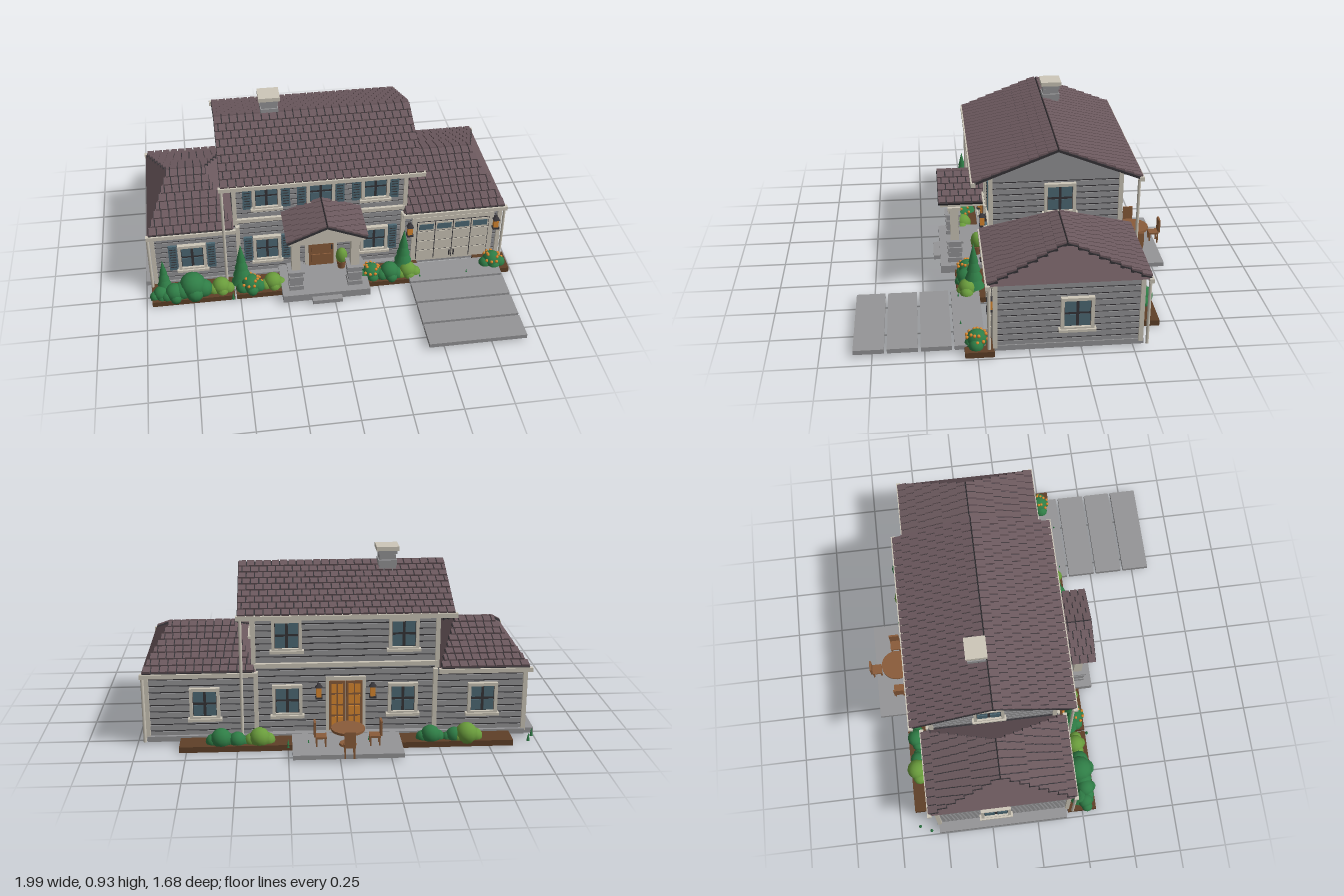
import * as THREE from 'three';
import { mergeGeometries } from 'three/addons/utils/BufferGeometryUtils.js';
import { ConvexGeometry } from 'three/addons/geometries/ConvexGeometry.js';

const V = (x, y, z) => new THREE.Vector3(x, y, z);
const mat = (name, color) => Object.assign(new THREE.MeshStandardMaterial({ color }), { name });
const M = {
  grey: mat('stone grey', 0x959597), roof: mat('roof brown', 0x6c595e), trim: mat('cream trim', 0xcdc7b9),
  dark: mat('dark gap', 0x363438), glass: mat('slate blue', 0x4e6a76), wood: mat('wood', 0x8a5c3a),
  amber: mat('amber', 0xdc8a30), green: mat('leaf green', 0x2f7d46), lime: mat('light leaf', 0x6a9c3c),
  soil: mat('soil', 0x5f4028),
};
const boxGeo = (sx, sy, sz, x, y, z) => new THREE.BoxGeometry(sx, sy, sz).translate(x, y, z);

function add(parent, name, material, geo) {
  const mesh = new THREE.Mesh(Array.isArray(geo) ? mergeGeometries(geo) : geo, material);
  mesh.name = name;
  parent.add(mesh);
  return mesh;
}
const box = (p, name, m, ...d) => add(p, name, m, boxGeo(...d));
// box from min and max corners
const span = (p, name, m, x0, x1, y0, y1, z0, z1) =>
  box(p, name, m, x1 - x0, y1 - y0, z1 - z0, (x0 + x1) / 2, (y0 + y1) / 2, (z0 + z1) / 2);

function part(parent, name, x = 0, y = 0, z = 0, ry = 0) {
  const g = new THREE.Group();
  g.name = name;
  g.position.set(x, y, z);
  g.rotation.y = ry;
  parent.add(g);
  return g;
}

// clapboard block: dark core, overlapping boards, cream corner posts
function walls(parent, name, x0, x1, y0, y1, z0, z1) {
  const g = part(parent, name), cx = (x0 + x1) / 2, cz = (z0 + z1) / 2, e = 0.004;
  span(g, 'wallCore', M.dark, x0 + e, x1 - e, y0, y1, z0 + e, z1 - e);
  const n = Math.round((y1 - y0) / 0.034), p = (y1 - y0) / n, boards = [], posts = [];
  for (let i = 0; i < n; i++) boards.push(boxGeo(x1 - x0, p - 0.007, z1 - z0, cx, y0 + (i + 0.5) * p, cz));
  add(g, 'boards', M.grey, boards);
  for (const x of [x0, x1]) for (const z of [z0, z1]) posts.push(boxGeo(0.022, y1 - y0, 0.022, x, (y0 + y1) / 2, z));
  add(g, 'cornerPosts', M.trim, posts);
}

// rows of staggered shingles from eave a-b up to ridge c-d
function shingles(parent, name, a, b, c, d, rows, tile = 0.042) {
  const tiles = [], backing = [];
  const u = b.clone().sub(a).normalize(), rise = c.clone().sub(a);
  const v = rise.clone().addScaledVector(u, -rise.dot(u)), len = v.length() / rows;
  v.normalize();
  const n = u.clone().cross(v), rot = new THREE.Matrix4().makeBasis(u, v, n);
  const place = (w, h, t, tilt, p, lift) => new THREE.BoxGeometry(w, h, t).rotateX(tilt)
    .applyMatrix4(rot).translate(...p.clone().addScaledVector(n, lift).toArray());
  for (let i = 0; i < rows; i++) {
    const t = (i + 0.5) / rows, l = a.clone().lerp(c, t), r = b.clone().lerp(d, t), w = l.distanceTo(r);
    backing.push(place(w, len, 0.012, 0, l.clone().lerp(r, 0.5), 0));
    const cols = Math.max(1, Math.round(w / tile)), s = w / cols;
    for (let j = 0; j < cols + (i % 2); j++) {
      const s0 = Math.max(0, (j - (i % 2) / 2) * s), s1 = Math.min(w, (j + 1 - (i % 2) / 2) * s);
      tiles.push(place(s1 - s0 - 0.006, len * 0.98, 0.01, -0.14, l.clone().addScaledVector(u, (s0 + s1) / 2), 0.011));
    }
  }
  const g = part(parent, name);
  add(g, 'roofDeck', M.dark, backing);
  add(g, 'tiles', M.roof, tiles);
}

// hipped wing roof with plain ends and gutters
function hipRoof(parent, name, x0, x1, r0, r1) {
  const g = part(parent, name), y = 0.375, h = 0.52, zf = 0.2, zb = -0.57, zr = -0.185;
  const [A, B, C, D] = [V(x0, y, zf), V(x1, y, zf), V(x1, y, zb), V(x0, y, zb)];
  const [R, S] = [V(r0, h, zr), V(r1, h, zr)];
  add(g, 'hipBody', M.roof, new ConvexGeometry([A, B, C, D, R, S]));
  shingles(g, 'frontSlope', A, B, R, S, 8);
  shingles(g, 'backSlope', C, D, S, R, 8);
  for (const z of [zf, zb]) box(g, 'gutter', M.trim, x1 - x0 + 0.015, 0.022, 0.022, (x0 + x1) / 2, 0.367, z);
}

// window facing +z with cream frame, four panes and optional shutters
function windowUnit(parent, x, y, z, ry = 0, shutters = false, w = 0.15, h = 0.165) {
  const g = part(parent, 'window', x, y, z, ry), bars = [], f = 0.016;
  box(g, 'sash', M.dark, w - 0.02, h - 0.02, 0.008, 0, 0, 0.004);
  const panes = [];
  for (const i of [-1, 1]) {
    bars.push(boxGeo(f, h, 0.024, i * (w - f) / 2, 0, 0.01), boxGeo(w, f, 0.024, 0, i * (h - f) / 2, 0.01));
    for (const j of [-1, 1]) panes.push(boxGeo(w / 2 - 0.026, h / 2 - 0.026, 0.008, i * (w / 4 - 0.006), j * (h / 4 - 0.006), 0.008));
    if (shutters) {
      box(g, 'shutter', M.glass, 0.046, h - 0.005, 0.014, i * (w / 2 + 0.027), 0, 0.007);
      const slats = [];
      for (let k = 0; k < 8; k++) slats.push(boxGeo(0.032, 0.004, 0.004, i * (w / 2 + 0.027), (k - 3.5) * 0.017, 0.014));
      add(g, 'shutterSlats', M.dark, slats);
    }
  }
  bars.push(boxGeo(w + 0.02, 0.014, 0.034, 0, -h / 2, 0.014));
  add(g, 'panes', M.glass, panes);
  add(g, 'frame', M.trim, bars);
}

function lantern(parent, x, y, z, ry = 0) {
  const g = part(parent, 'wallLantern', x, y, z, ry);
  box(g, 'lamp', M.amber, 0.026, 0.05, 0.024, 0, 0, 0.022);
  add(g, 'lanternFrame', M.dark, [boxGeo(0.018, 0.08, 0.01, 0, 0, 0.005), boxGeo(0.036, 0.01, 0.034, 0, -0.028, 0.022),
    new THREE.ConeGeometry(0.026, 0.022, 4, 1).rotateY(Math.PI / 4).translate(0, 0.037, 0.022).toNonIndexed()].map(q => q.index ? q.toNonIndexed() : q));
}

function bush(parent, x, z, r, m, flowers = false) {
  const g = part(parent, 'bush', x, 0, z), balls = [], blooms = [];
  for (const [dx, dy, dz, s] of [[0, 0.85, 0, 0.85], [-0.65, 0.6, 0.15, 0.6], [0.65, 0.6, 0.1, 0.6], [0.1, 0.55, 0.45, 0.55]])
    balls.push(new THREE.SphereGeometry(r * s, 12, 8).translate(dx * r, dy * r, dz * r));
  add(g, 'leaves', m, balls);
  if (!flowers) return;
  for (let i = 0; i < 14; i++) {
    const a = i * 2.4, e = 0.3 + (i % 5) * 0.2;
    blooms.push(new THREE.SphereGeometry(0.009, 6, 5).translate(Math.cos(a) * Math.cos(e) * r * 0.95, r * (0.8 + Math.sin(e) * 0.85), Math.sin(a) * Math.cos(e) * r * 0.95));
  }
  add(g, 'flowers', M.amber, blooms);
}

function conifer(parent, x, z, h) {
  const g = part(parent, 'conifer', x, 0, z), tiers = [];
  add(g, 'trunk', M.wood, new THREE.CylinderGeometry(0.01, 0.012, h * 0.3, 8).translate(0, h * 0.15, 0));
  for (let i = 0; i < 4; i++) tiers.push(new THREE.ConeGeometry(h * (0.19 - i * 0.035), h * 0.36, 12).translate(0, h * (0.34 + i * 0.16), 0));
  add(g, 'foliage', M.green, tiers);
}

function chair(parent, x, z, ry) {
  const g = part(parent, 'patioChair', x, 0, z, ry);
  box(g, 'seat', M.wood, 0.055, 0.01, 0.055, 0, 0.085, 0);
  box(g, 'backrest', M.wood, 0.055, 0.075, 0.01, 0, 0.128, -0.03);
  for (const i of [-1, 1]) for (const j of [-1, 1]) box(g, 'leg', M.wood, 0.008, 0.06, 0.008, i * 0.022, 0.055, j * 0.022);
}

export function createModel() {
  const house = new THREE.Group();
  house.name = 'house';
  const F = 0.145, B = -0.515, WF = 0.165, WB = -0.535, CX = -0.0425, RZ = -0.185;

  // foundation, walls and gables
  span(house, 'foundation', M.grey, -0.95, 0.95, 0.012, 0.04, -0.55, 0.175);
  span(house, 'sidePath', M.grey, -1, -0.95, 0.012, 0.04, -0.54, 0.16);
  walls(house, 'mainWalls', -0.5, 0.415, 0.03, 0.675, B, F);
  walls(house, 'leftWingWalls', -0.945, -0.49, 0.03, 0.37, WB, WF);
  walls(house, 'rightWingWalls', 0.405, 0.945, 0.03, 0.37, WB, WF);
  const gable = [];
  for (const x of [-0.5, 0.415]) gable.push(V(x, 0.67, F), V(x, 0.698, F), V(x, 0.832, RZ), V(x, 0.698, B), V(x, 0.67, B));
  add(house, 'gable', M.grey, new ConvexGeometry(gable));
  for (const z of [F, B]) box(house, 'storyBand', M.trim, 0.915, 0.022, 0.03, CX, 0.395, z);

  // roofs
  const [l, r, e, t] = [-0.57, 0.488, 0.67, 0.835];
  shingles(house, 'mainFrontRoof', V(l, e, 0.235), V(r, e, 0.235), V(l, t, RZ), V(r, t, RZ), 9);
  shingles(house, 'mainBackRoof', V(r, e, -0.605), V(l, e, -0.605), V(r, t, RZ), V(l, t, RZ), 9);
  for (const z of [0.235, -0.605]) box(house, 'mainGutter', M.trim, 1.075, 0.022, 0.024, CX, 0.668, z);
  hipRoof(house, 'leftWingRoof', -0.965, -0.51, -0.84, -0.64);
  hipRoof(house, 'rightWingRoof', 0.405, 0.965, 0.52, 0.85);
  for (const [x, z, h] of [[-0.565, 0.225, 0.66], [0.475, -0.595, 0.66], [-0.965, 0.195, 0.36], [0.96, -0.565, 0.36], [0.96, 0.195, 0.36]])
    add(house, 'downspout', M.trim, new THREE.CylinderGeometry(0.008, 0.008, h - 0.02, 8).translate(x, (h + 0.02) / 2, z));

  // chimney
  for (let i = 0; i < 4; i++) box(house, 'chimneyStone', M.grey, 0.085 + (i % 2) * 0.01, 0.027, 0.085 + (i % 2) * 0.01, -0.27, 0.82 + i * 0.029, -0.235);
  box(house, 'chimneyCap', M.trim, 0.115, 0.022, 0.11, -0.27, 0.923, -0.235);

  // windows
  for (const x of [-0.33, CX, 0.25]) windowUnit(house, x, 0.552, F, 0, true);
  for (const x of [-0.335, 0.25]) windowUnit(house, x, 0.2, F, 0, true);
  windowUnit(house, -0.74, 0.2, WF, 0, true);
  for (const x of [-0.33, 0.25]) for (const y of [0.21, 0.552]) windowUnit(house, x, y, B, Math.PI);
  for (const x of [-0.73, 0.66]) windowUnit(house, x, 0.21, WB, Math.PI);
  for (const s of [-1, 1]) {
    windowUnit(house, s * 0.945, 0.205, -0.225, s * Math.PI / 2, false, 0.16, 0.175);
    windowUnit(house, s < 0 ? -0.5 : 0.415, 0.55, -0.205, s * Math.PI / 2, false, 0.16, 0.165);
  }

  // front door
  const door = part(house, 'frontDoor', CX, 0.2, F);
  box(door, 'doorFrame', M.trim, 0.175, 0.31, 0.014, 0, 0, 0.007);
  box(door, 'doorLeaf', M.wood, 0.135, 0.285, 0.02, 0, -0.005, 0.012);
  for (const x of [-0.042, 0, 0.042]) for (const y of [0.1, 0.058]) box(door, 'doorPane', M.amber, 0.032, 0.034, 0.006, x, y, 0.022);
  for (const x of [-0.03, 0.03]) for (const y of [-0.02, -0.095]) box(door, 'doorPanel', M.wood, 0.045, 0.055, 0.008, x, y, 0.024);
  box(door, 'handle', M.dark, 0.008, 0.03, 0.01, 0.056, -0.02, 0.026);

  // portico
  const porch = part(house, 'portico', CX, 0, 0);
  span(porch, 'porchFloor', M.grey, -0.235, 0.235, 0.012, 0.055, F, 0.4);
  span(porch, 'porchStep', M.grey, -0.08, 0.08, 0.012, 0.035, 0.4, 0.435);
  for (const x of [-0.158, 0.158]) {
    for (let i = 0; i < 4; i++) box(porch, 'pierStone', M.grey, 0.078 - (i % 2) * 0.008, 0.027, 0.078 - (i % 2) * 0.008, x, 0.068 + i * 0.03, 0.32);
    box(porch, 'pierCap', M.grey, 0.088, 0.012, 0.088, x, 0.175, 0.32);
    box(porch, 'column', M.trim, 0.045, 0.2, 0.045, x, 0.275, 0.32);
    box(porch, 'columnCap', M.trim, 0.068, 0.018, 0.068, x, 0.37, 0.32);
    box(porch, 'sideBeam', M.trim, 0.04, 0.03, 0.25, x, 0.395, 0.265);
  }
  box(porch, 'frontBeam', M.trim, 0.4, 0.028, 0.04, 0, 0.405, 0.375);
  add(porch, 'pediment', M.trim, new ConvexGeometry([0.14, 0.398].flatMap(z => [V(-0.195, 0.412, z), V(0.195, 0.412, z), V(0, 0.493, z)])));
  shingles(porch, 'rightSlope', V(0.208, 0.41, 0.405), V(0.208, 0.41, 0.14), V(0, 0.497, 0.405), V(0, 0.497, 0.14), 5);
  shingles(porch, 'leftSlope', V(-0.208, 0.41, 0.14), V(-0.208, 0.41, 0.405), V(0, 0.497, 0.14), V(0, 0.497, 0.405), 5);

  // garage door
  const garage = part(house, 'garageDoor', 0.685, 0.18, WF);
  box(garage, 'garageFrame', M.trim, 0.455, 0.3, 0.012, 0, -0.005, 0.004);
  box(garage, 'garageGaps', M.dark, 0.402, 0.262, 0.008, 0, -0.012, 0.008);
  for (let i = 0; i < 4; i++) for (let j = 0; j < 4; j++) {
    const x = (i - 1.5) * 0.1, y = (j - 1.5) * 0.065 - 0.012;
    box(garage, 'garagePanel', M.trim, 0.095, 0.06, 0.01, x, y, 0.011);
    if (j === 3) box(garage, 'garagePane', M.glass, 0.08, 0.036, 0.006, x, y, 0.015);
  }
  for (const x of [-0.012, 0.012]) box(garage, 'garageHandle', M.dark, 0.006, 0.035, 0.01, x, -0.105, 0.019);

  // back doors
  const french = part(house, 'gardenDoors', CX, 0.185, B, Math.PI);
  box(french, 'gardenDoorFrame', M.trim, 0.2, 0.29, 0.012, 0, 0, 0.006);
  for (const s of [-1, 1]) {
    box(french, 'gardenDoorLeaf', M.wood, 0.082, 0.262, 0.016, s * 0.043, -0.005, 0.01);
    for (const x of [0.027, 0.059]) for (let j = 0; j < 4; j++) box(french, 'gardenDoorPane', M.amber, 0.026, 0.048, 0.006, s * x, (j - 1.5) * 0.058, 0.018);
  }
  for (const s of [-1, 1]) {
    lantern(house, CX + s * 0.11, 0.255, F);
    lantern(house, CX + s * 0.135, 0.255, B, Math.PI);
    lantern(house, 0.683 + s * 0.24, 0.255, WF);
  }

  // driveway and patio
  for (let i = 0; i < 4; i++) span(house, 'drivewaySlab', M.grey, 0.42, 0.93, 0.015, 0.038, 0.21 + i * 0.161, 0.357 + i * 0.161);
  span(house, 'patio', M.grey, -0.31, 0.23, 0.015, 0.038, -0.81, -0.55);
  const table = part(house, 'patioTable', CX, 0, -0.69);
  add(table, 'tableTop', M.wood, new THREE.CylinderGeometry(0.083, 0.083, 0.012, 24).translate(0, 0.122, 0));
  add(table, 'tableStem', M.wood, new THREE.CylinderGeometry(0.01, 0.014, 0.085, 10).translate(0, 0.078, 0));
  add(table, 'tableFoot', M.wood, new THREE.CylinderGeometry(0.04, 0.045, 0.01, 12).translate(0, 0.042, 0));
  chair(house, CX, -0.805, 0);
  chair(house, -0.175, -0.69, Math.PI / 2);
  chair(house, 0.09, -0.69, -Math.PI / 2);

  // planting beds and plants
  for (const [x0, x1, z0, z1] of [[-0.97, -0.53, 0.17, 0.325], [-0.52, -0.25, 0.14, 0.325], [0.17, 0.49, 0.14, 0.325], [0.81, 0.985, 0.17, 0.31],
    [-0.87, -0.31, -0.665, -0.53], [0.23, 0.785, -0.665, -0.53]]) span(house, 'plantingBed', M.soil, x0, x1, 0, 0.03, z0, z1);
  for (const [x, z, s, m, f] of [[-0.92, 0.27, 0.05, M.green], [-0.75, 0.26, 0.085, M.green], [-0.6, 0.26, 0.058, M.lime], [-0.85, 0.28, 0.06, M.green],
    [-0.44, 0.27, 0.064, M.green, 1], [-0.32, 0.26, 0.058, M.lime], [0.22, 0.26, 0.06, M.green, 1], [0.32, 0.27, 0.062, M.green], [0.42, 0.27, 0.058, M.lime],
    [0.9, 0.25, 0.06, M.green, 1], [-0.64, -0.63, 0.066, M.lime], [-0.58, -0.62, 0.05, M.green], [-0.46, -0.62, 0.058, M.green],
    [0.39, -0.62, 0.062, M.lime], [0.5, -0.62, 0.05, M.green], [0.58, -0.62, 0.062, M.green]]) bush(house, x, z, s, m, f);
  for (const [x, h] of [[-0.9, 0.24], [-0.485, 0.3], [0.4, 0.3]]) conifer(house, x, 0.235, h);
  add(house, 'planter', M.wood, new THREE.CylinderGeometry(0.028, 0.02, 0.05, 12).translate(0.065, 0.08, 0.2));
  add(house, 'planterLeaves', M.lime, new THREE.SphereGeometry(0.038, 12, 8).scale(0.85, 1.3, 0.85).translate(0.065, 0.135, 0.2));
  for (const [x, z] of [[-0.95, -0.645], [-0.98, -0.585], [0.48, 0.32], [0.74, 0.32], [-0.15, -0.64], [0.15, -0.66], [0.25, -0.66], [-0.54, 0.335]])
    add(house, 'sprout', M.green, new THREE.ConeGeometry(0.009, 0.045, 6).translate(x, 0.0375, z));
  return house;
}
